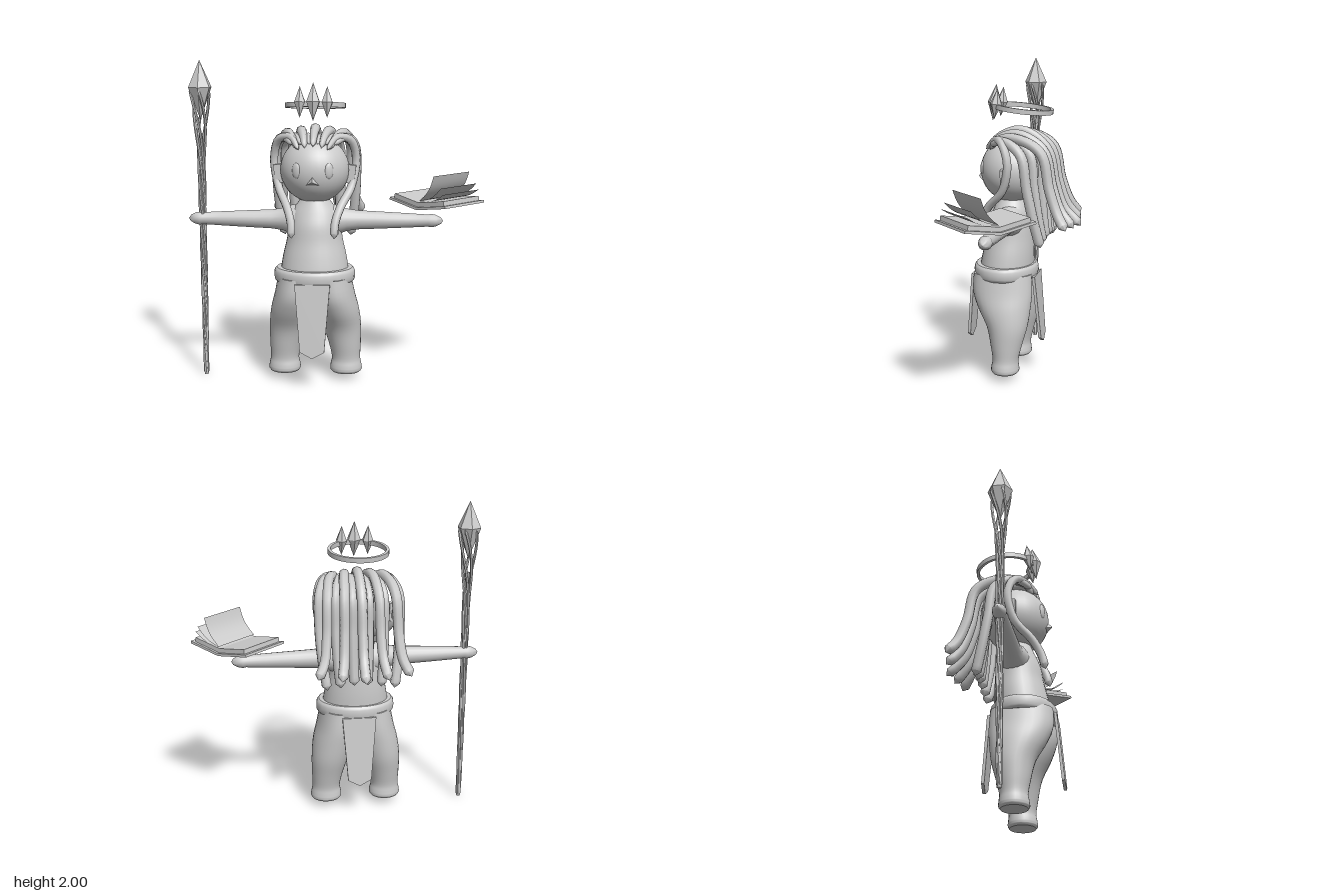
import * as THREE from 'three';
import { toCreasedNormals } from 'three/addons/utils/BufferGeometryUtils.js';

const smooth = new THREE.MeshStandardMaterial({ color: 0xcccccc });
const flat = new THREE.MeshStandardMaterial({ color: 0xcccccc, flatShading: true });
const sheet = new THREE.MeshStandardMaterial({ color: 0xcccccc, side: THREE.DoubleSide });
const V = (x, y, z) => new THREE.Vector3(x, y, z);

function add(parent, name, geo, mat, x = 0, y = 0, z = 0) {
  const mesh = new THREE.Mesh(geo, mat);
  mesh.name = name;
  mesh.position.set(x, y, z);
  parent.add(mesh);
  return mesh;
}

// Closed solid through elliptical sections [y, cx, cz, rx, rz]
function loft(sections, rows = 24) {
  const mid = new THREE.CatmullRomCurve3(sections.map(s => V(s[1], s[0], s[2])));
  const rad = new THREE.CatmullRomCurve3(sections.map(s => V(s[3], s[0], s[4])));
  const geo = new THREE.CylinderGeometry(1, 1, 1, 28, rows);
  const p = geo.attributes.position;
  for (let i = 0; i < p.count; i++) {
    const t = Math.min(1, Math.max(0, p.getY(i) + 0.5));
    const c = mid.getPoint(t), r = rad.getPoint(t);
    p.setXYZ(i, c.x + p.getX(i) * r.x, c.y, c.z + p.getZ(i) * r.z);
  }
  return toCreasedNormals(geo, 0.8);
}

// Tube along points with a tapered start and blunt closed ends
function strand(points, radius, startScale = 1, seg = 30, sides = 8) {
  const curve = new THREE.CatmullRomCurve3(points);
  const geo = new THREE.TubeGeometry(curve, seg, radius, sides);
  const p = geo.attributes.position, v = V(0, 0, 0);
  for (let i = 0; i < p.count; i++) {
    const ring = Math.floor(i / (sides + 1));
    const end = ring === 0 || ring === seg;
    const c = curve.getPointAt(ring / seg);
    const k = end ? 0 : startScale + (1 - startScale) * Math.min(1, ring / seg * 5);
    v.fromBufferAttribute(p, i).sub(c).multiplyScalar(k).add(c);
    p.setXYZ(i, v.x, v.y, v.z);
  }
  return toCreasedNormals(geo, 0.9);
}

// Pointed crystal: wide ring at height 0
function crystal(up, down, r, sides) {
  const profile = [[0, -down], [r, 0], [0, up]].map(a => new THREE.Vector2(...a));
  return new THREE.LatheGeometry(profile, sides);
}

function buildBody(fig) {
  add(fig, 'torso', loft([
    [0.58, 0, 0.12, 0.21, 0.17], [0.7, 0, 0.12, 0.212, 0.172], [0.8, 0, 0.11, 0.198, 0.165],
    [0.9, 0, 0.1, 0.175, 0.152], [1.0, 0, 0.095, 0.16, 0.14], [1.08, 0, 0.09, 0.14, 0.115],
    [1.15, 0, 0.09, 0.09, 0.085]]), smooth);
  add(fig, 'belt', loft([
    [0.645, 0, 0.125, 0.238, 0.195], [0.66, 0, 0.125, 0.25, 0.203],
    [0.715, 0, 0.125, 0.25, 0.203], [0.732, 0, 0.125, 0.236, 0.19]], 8), smooth);

  const armProfile = [[0, 0.08], [0.1, 0.09], [0.09, 0.15], [0.07, 0.2], [0.06, 0.27], [0.055, 0.38],
    [0.045, 0.58], [0.038, 0.7], [0.042, 0.72], [0.036, 0.75], [0.02, 0.78], [0, 0.793]]
    .map(a => new THREE.Vector2(...a));
  for (const s of [1, -1]) {
    add(fig, s > 0 ? 'leftLeg' : 'rightLeg', loft([
      [0.045, 0.195 * s, 0.09, 0.088, 0.08], [0.06, 0.195 * s, 0.09, 0.1, 0.09],
      [0.09, 0.195 * s, 0.09, 0.098, 0.088], [0.13, 0.195 * s, 0.088, 0.09, 0.083],
      [0.22, 0.188 * s, 0.085, 0.1, 0.1], [0.34, 0.17 * s, 0.083, 0.12, 0.13],
      [0.46, 0.145 * s, 0.107, 0.132, 0.17], [0.56, 0.125 * s, 0.122, 0.127, 0.192],
      [0.68, 0.11 * s, 0.125, 0.118, 0.188]], 30), smooth);
    const arm = add(fig, s > 0 ? 'leftArm' : 'rightArm',
      toCreasedNormals(new THREE.LatheGeometry(armProfile, 16), 0.8), smooth, 0, 1.02, 0.08);
    arm.rotation.z = -s * Math.PI / 2;
  }

  // Hanging cloth flaps, front and back
  const shape = new THREE.Shape([[-0.108, 0], [-0.075, -0.415], [0, -0.455], [0.075, -0.415], [0.108, 0]]
    .map(a => new THREE.Vector2(...a)));
  const flapGeo = new THREE.ExtrudeGeometry(shape, { depth: 0.018, bevelEnabled: false });
  add(fig, 'frontFlap', flapGeo, flat, 0, 0.66, 0.315).rotation.set(-0.09, 0, 0);
  add(fig, 'backFlap', flapGeo, flat, 0, 0.66, -0.065).rotation.set(-0.09, Math.PI, 0, 'YXZ');
}

function buildHead(fig) {
  add(fig, 'head', new THREE.SphereGeometry(1, 32, 24), smooth, 0, 1.335, 0.085).scale.set(0.213, 0.205, 0.2);
  // Small triangular nose
  const nose = add(fig, 'nose', new THREE.ConeGeometry(0.05, 0.045, 3), flat, 0, 1.285, 0.286);
  nose.rotation.set(Math.PI / 2, Math.PI, 0);
  for (const s of [1, -1]) {
    const eye = add(fig, 'eye', new THREE.SphereGeometry(1, 16, 12), smooth, s * 0.098, 1.347, 0.255);
    eye.scale.set(0.028, 0.048, 0.014);
    eye.rotation.y = s * 0.45;
    const ear = add(fig, 'ear', new THREE.BoxGeometry(0.07, 0.115, 0.045), flat, s * 0.215, 1.31, 0.085);
    ear.rotation.z = -s * 0.12;
  }
}

function buildHair(fig) {
  const hair = new THREE.Group();
  hair.name = 'hair';
  fig.add(hair);
  // Long locks swept over the crown and flaring behind
  for (let i = -2; i <= 2; i++) {
    const s = i / 2, a = Math.abs(s);
    add(hair, 'longLock', strand([
      V(s * 0.1, 1.49 - a * 0.02, 0.235 - a * 0.03), V(s * 0.13, 1.555 - a * 0.02, 0.15),
      V(s * 0.18, 1.58 - a * 0.03, 0.01), V(s * 0.21, 1.47, -0.14), V(s * 0.22, 1.25, -0.195),
      V(s * 0.24, 1.1, -0.25), V(s * 0.285, 0.99 + a * 0.02, -0.36 + a * 0.05)], 0.032, 0.5), smooth);
  }
  // Inner locks hanging closer to the neck
  for (let i = -5; i <= 5; i += 2) {
    const s = i / 5, c = 1 - Math.abs(s);
    add(hair, 'innerLock', strand([
      V(s * 0.12, 1.5, 0.2), V(s * 0.19, 1.535, 0.1), V(s * 0.245, 1.46, -0.02 - c * 0.08),
      V(s * 0.25, 1.25, -0.06 - c * 0.06), V(s * 0.235, 1.05, -0.1 - c * 0.03),
      V(s * 0.21, 0.88 + c * 0.03, -0.14)], 0.032, 0.5), smooth);
  }
  // Side locks looping outward and falling over the chest
  for (const s of [1, -1]) {
    add(hair, 'frontLock', strand([
      V(s * 0.085, 1.47, 0.235), V(s * 0.14, 1.54, 0.16), V(s * 0.22, 1.52, 0.1), V(s * 0.255, 1.4, 0.06),
      V(s * 0.225, 1.23, 0.1), V(s * 0.165, 1.12, 0.2), V(s * 0.135, 1.03, 0.25), V(s * 0.13, 0.935, 0.275)],
      0.026, 0.5), smooth);
  }
}

function buildCrown(fig) {
  const crown = new THREE.Group();
  crown.name = 'crown';
  crown.position.set(0, 1.722, 0.012);
  crown.rotation.x = -0.11;
  fig.add(crown);
  const band = [[0.188, -0.015], [0.188, 0.015], [0.17, 0.015], [0.17, -0.015], [0.188, -0.015]]
    .map(a => new THREE.Vector2(...a));
  add(crown, 'crownBand', toCreasedNormals(new THREE.LatheGeometry(band, 36), 0.6), smooth);
  for (const s of [-1, 0, 1]) {
    const k = s ? 0.82 : 1;
    add(crown, 'crownGem', crystal(0.115 * k, 0.115 * k, 0.045 * k, 6), flat,
      s * 0.083, 0.014, s ? 0.162 : 0.19);
  }
}

function buildStaff(root) {
  const staff = new THREE.Group();
  staff.name = 'staff';
  staff.position.set(-0.83, 0, 0.08);
  root.add(staff);
  add(staff, 'staffCore', new THREE.CylinderGeometry(0.013, 0.013, 1.55, 8), smooth, 0, 0.775, 0);
  // Twisted strands opening into a cradle for the gem
  for (let k = 0; k < 5; k++) {
    const pts = [];
    for (let i = 0; i <= 36; i++) {
      const y = i / 36 * 1.83, open = Math.max(0, (y - 1.4) / 0.43);
      const r = 0.009 + 0.009 * y / 1.4 + 0.042 * open ** 1.3;
      const ang = k * Math.PI * 0.4 + y * 5;
      pts.push(V(Math.cos(ang) * r, y, Math.sin(ang) * r));
    }
    add(staff, 'staffStrand', strand(pts, 0.009, 1, 90, 6), smooth);
  }
  add(staff, 'staffGem', crystal(0.165, 0.2, 0.075, 6), flat, 0, 1.835, 0);
}

function buildBook(root) {
  const book = new THREE.Group();
  book.name = 'openBook';
  book.position.set(0.625, 1.105, 0.072);
  book.rotation.y = -Math.PI / 4;
  root.add(book);
  for (const s of [1, -1]) {
    const half = new THREE.Group();
    half.name = 'bookHalf';
    half.rotation.z = s * 0.16;
    book.add(half);
    add(half, 'cover', new THREE.BoxGeometry(0.236, 0.016, 0.35), flat, s * 0.118, 0.008, 0);
    add(half, 'pageBlock', new THREE.BoxGeometry(0.21, 0.028, 0.32), flat, s * 0.107, 0.03, 0);
  }
  // Loose pages lifting off the spine, each gently curled
  for (const [lift, len] of [[0.95, 0.2], [0.5, 0.2], [0.3, 0.205]]) {
    const geo = new THREE.PlaneGeometry(len, 0.32, 8, 1).rotateX(-Math.PI / 2).translate(len / 2, 0, 0);
    const p = geo.attributes.position;
    for (let i = 0; i < p.count; i++) {
      const x = p.getX(i);
      p.setY(i, -0.02 * Math.sin(x / len * Math.PI));
    }
    geo.computeVertexNormals();
    add(book, 'loosePage', geo, sheet, 0.005, 0.055, 0).rotation.z = lift;
  }
}

export function createModel() {
  const root = new THREE.Group();
  root.name = 'staffBearer';
  const fig = new THREE.Group();
  fig.name = 'figure';
  fig.position.x = -0.125;
  root.add(fig);
  buildBody(fig);
  buildHead(fig);
  buildHair(fig);
  buildCrown(fig);
  buildStaff(root);
  buildBook(root);
  return root;
}
